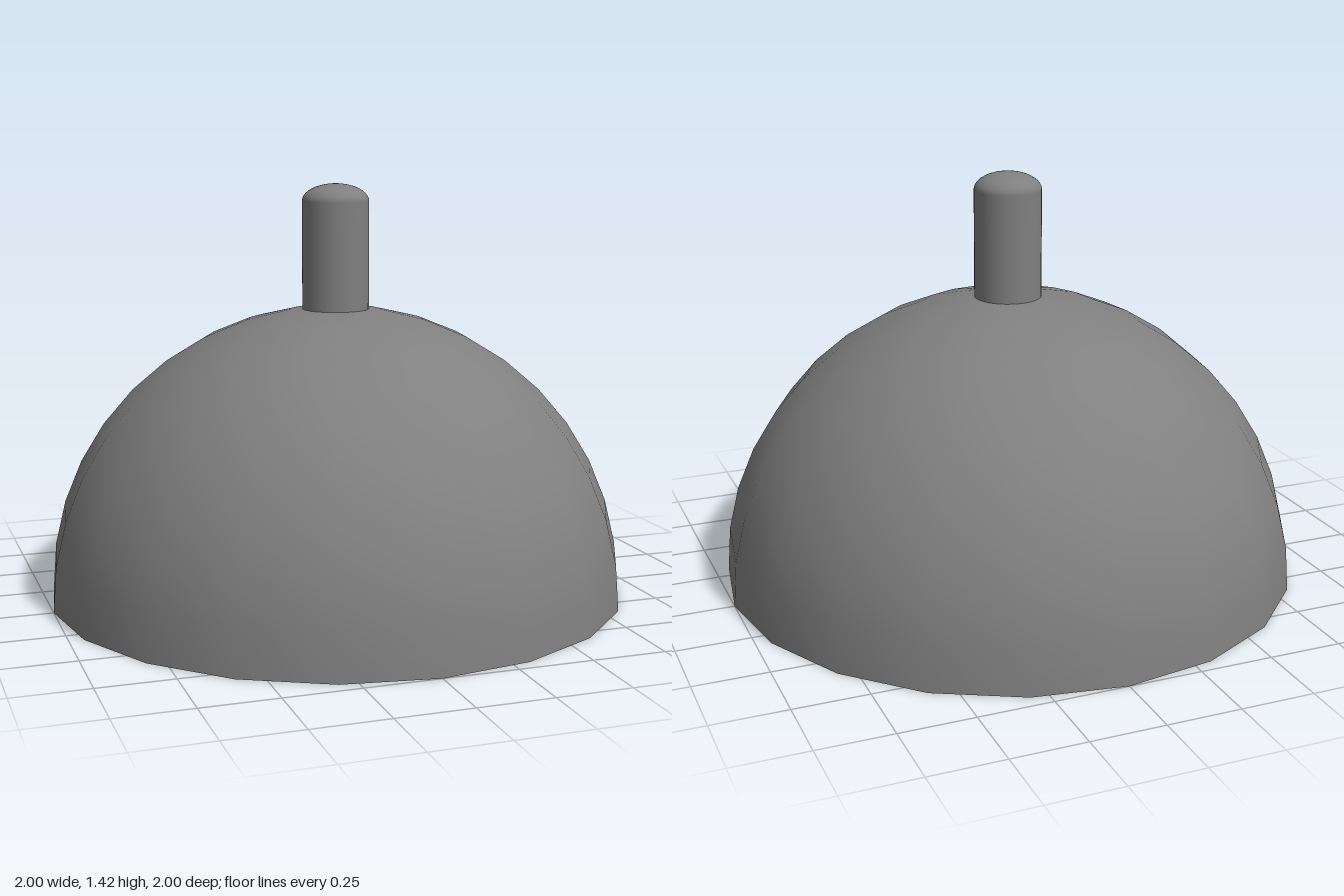
import * as THREE from 'three';

const GREY = 0x808080;
const WHITE = 0xffffff;

function lathe(name, points, segments, color = GREY) {
  const profile = points.map(([r, y]) => new THREE.Vector2(r, y));
  const material = new THREE.MeshStandardMaterial({ color, side: THREE.DoubleSide });
  const mesh = new THREE.Mesh(new THREE.LatheGeometry(profile, segments), material);
  mesh.name = name;
  return mesh;
}

// Points of an elliptical arc about the axis, angles in degrees from the horizontal
function arc(cy, rx, ry, from, to, steps) {
  return Array.from({ length: steps + 1 }, (_, i) => {
    const a = THREE.MathUtils.degToRad(from + ((to - from) * i) / steps);
    return [Math.max(0, rx * Math.cos(a)), cy + ry * Math.sin(a)];
  });
}

export function createModel() {
  const model = new THREE.Group();
  model.name = 'pendantLamp';

  // Thin hemispherical shade: outer skin, inner skin and the rim joining them
  const shade = new THREE.Group();
  shade.name = 'shade';
  shade.add(
    lathe('shadeOuter', arc(0, 1, 1, 0, 90, 10), 20),
    lathe('shadeInner', arc(0, 0.99, 0.99, 90, 0, 10), 20),
    lathe('shadeRim', [[0.99, 0], [1, 0]], 20)
  );
  model.add(shade);

  // Stem with a low domed top
  model.add(lathe('stem', [[0.115, 0.98], [0.115, 1.2], ...arc(1.36, 0.115, 0.06, 0, 90, 10)], 32));

  // Socket under the shade
  model.add(lathe('socket', [[0.075, 0.99], [0.075, 0.82], [0, 0.82]], 24));

  // Bulb: round globe tapering up into the socket
  model.add(lathe('bulb', [...arc(0.58, 0.13, 0.13, -90, 35, 14), [0.08, 0.71], [0.06, 0.77], [0.06, 0.83]], 24, WHITE));

  return model;
}
